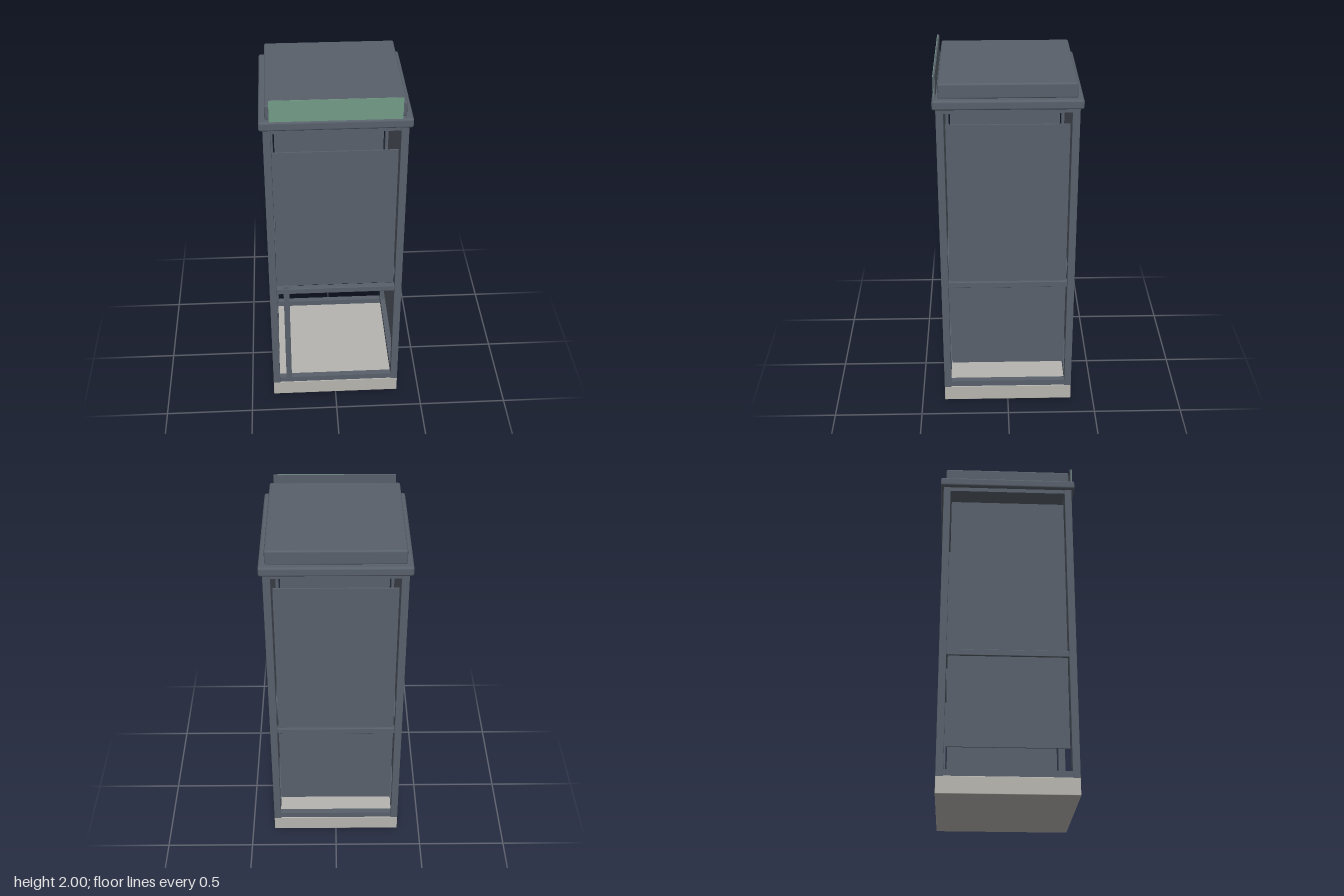
import * as THREE from 'three';
import { RoundedBoxGeometry } from 'three/addons/geometries/RoundedBoxGeometry.js';

const material = (name, color) => {
  const m = new THREE.MeshStandardMaterial({ color });
  m.name = name;
  return m;
};

export function createModel() {
  const slate = material('slate metal', 0x58606a);
  const stone = material('pale concrete', 0xb6b4af);
  const green = material('sign green', 0x739c87);
  const booth = new THREE.Group();
  booth.name = 'booth';

  // Box given by its extents, optionally with softened edges
  function box(name, mat, [x0, x1], [y0, y1], [z0, z1], bevel = 0, parent = booth) {
    const size = [x1 - x0, y1 - y0, z1 - z0];
    const geometry = bevel
      ? new RoundedBoxGeometry(...size, 2, bevel)
      : new THREE.BoxGeometry(...size);
    const mesh = new THREE.Mesh(geometry, mat);
    mesh.name = name;
    mesh.position.set((x0 + x1) / 2, (y0 + y1) / 2, (z0 + z1) / 2);
    parent.add(mesh);
    return mesh;
  }

  // Plinth and roof
  box('base', stone, [-0.37, 0.37], [0, 0.095], [-0.37, 0.37], 0.004);
  box('cornice', slate, [-0.39, 0.39], [1.83, 1.882], [-0.388, 0.388], 0.012);
  box('roofCap', slate, [-0.357, 0.357], [1.88, 1.962], [-0.357, 0.357], 0.01);

  // Corner posts
  for (const sx of [-1, 1]) {
    for (const sz of [-1, 1]) {
      const post = box('cornerPost', slate, [-0.02, 0.02], [0.09, 1.84], [-0.02, 0.02], 0.003);
      post.position.x = sx * 0.35;
      post.position.z = sz * 0.35;
    }
  }

  // Each wall: three rails and a thin panel; the front panel is shorter
  ['front', 'left', 'back', 'right'].forEach((side, i) => {
    const wall = new THREE.Group();
    wall.name = side + 'Wall';
    wall.rotation.y = i * Math.PI / 2;
    booth.add(wall);
    box('bottomRail', slate, [-0.33, 0.33], [0.09, 0.13], [0.333, 0.367], 0, wall);
    box('middleRail', slate, [-0.33, 0.33], [0.768, 0.803], [0.333, 0.367], 0.003, wall);
    box('topRail', slate, [-0.33, 0.33], [1.806, 1.84], [0.333, 0.367], 0, wall);
    const panelHeight = side === 'front' ? [0.82, 1.685] : [0.255, 1.738];
    box('panel', slate, [-0.322, 0.322], panelHeight, [0.346, 0.354], 0, wall);
  });

  // Door stile in the open lower front
  box('doorStile', slate, [-0.292, -0.26], [0.13, 0.82], [0.335, 0.365]);

  // Telephone and shelf on the inside of the back wall
  box('telephone', slate, [-0.11, 0.11], [0.89, 1.22], [-0.345, -0.24], 0.015);
  box('shelf', slate, [-0.19, 0.19], [0.79, 0.812], [-0.315, -0.13]);

  // Sign standing on the front edge of the cornice
  box('signBoard', slate, [-0.335, 0.335], [1.875, 2], [0.368, 0.377]);
  box('signFace', green, [-0.335, 0.335], [1.878, 2], [0.377, 0.38]);

  return booth;
}
